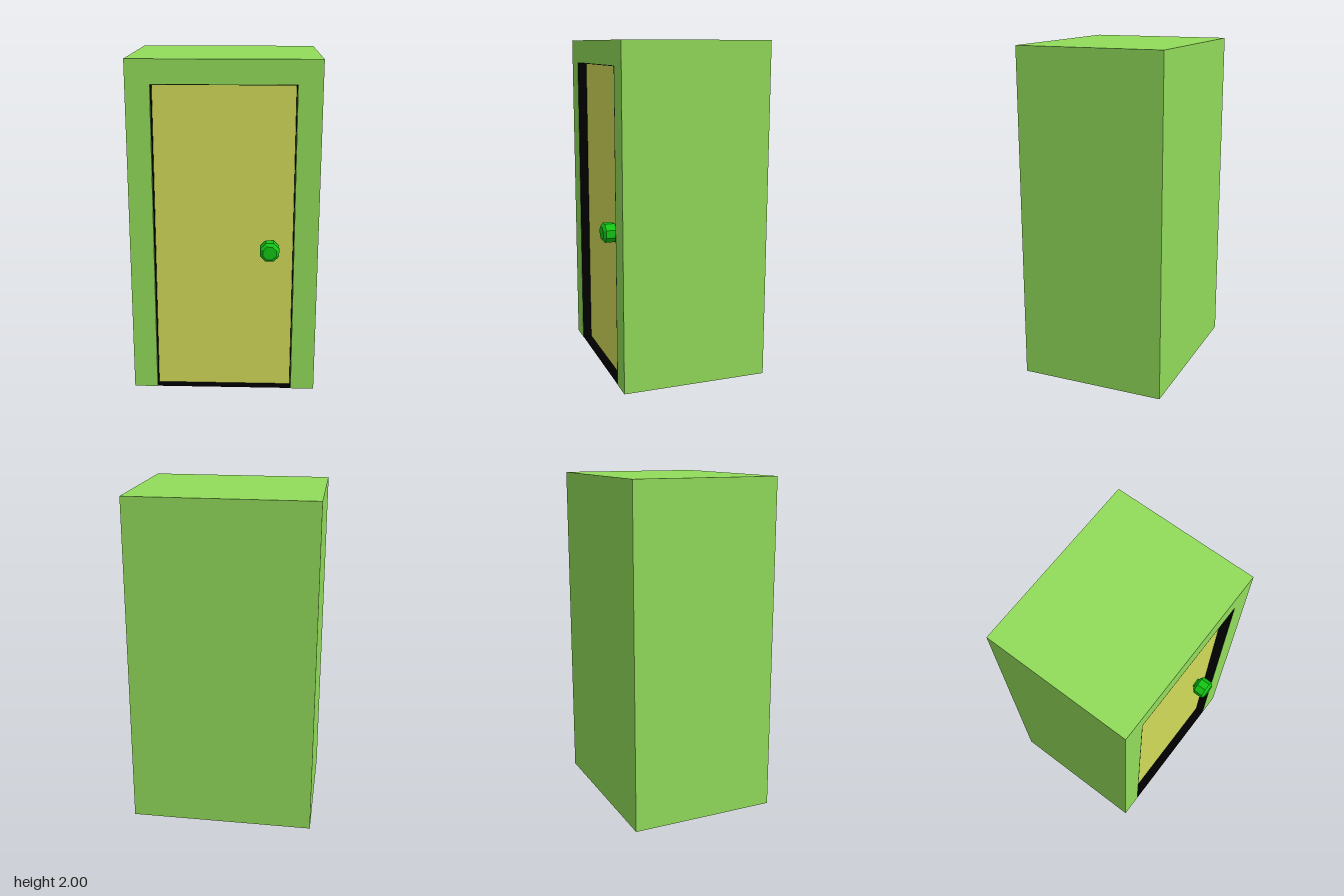
import * as THREE from 'three';

const material = (color, extra = {}) => new THREE.MeshStandardMaterial({ color, ...extra });

function addPart(group, name, geometry, mat) {
  const mesh = new THREE.Mesh(geometry, mat);
  mesh.name = name;
  group.add(mesh);
  return mesh;
}

export function createModel() {
  const group = new THREE.Group();
  group.name = 'doorway';

  const halfW = 0.55, height = 2, back = -0.465, front = 0.42;
  const openW = 0.41, openH = 1.86, innerBack = -0.32;
  const green = material(0x92dc5a);

  // U-shaped surround: two side walls and a top, open at floor level
  const outline = new THREE.Shape([
    [-halfW, 0], [-openW, 0], [-openW, openH], [openW, openH],
    [openW, 0], [halfW, 0], [halfW, height], [-halfW, height],
  ].map(([x, y]) => new THREE.Vector2(x, y)));
  const surround = new THREE.ExtrudeGeometry(outline, { depth: front - innerBack, bevelEnabled: false });
  addPart(group, 'frame', surround, green).position.z = innerBack;

  // Back wall
  const wall = new THREE.BoxGeometry(halfW * 2, height, innerBack - back);
  addPart(group, 'backWall', wall, green).position.set(0, height / 2, (back + innerBack) / 2);

  // Black lining of the recess: a thin box without its front face
  const gap = 0.002;
  const lining = new THREE.BoxGeometry((openW - gap) * 2, openH - gap * 2, front - innerBack - gap);
  const index = Array.from(lining.index.array);
  index.splice(24, 6);
  lining.setIndex(index);
  lining.clearGroups();
  addPart(group, 'darkInterior', lining, material(0x000000, { side: THREE.DoubleSide }))
    .position.set(0, openH / 2, (front + innerBack + gap) / 2);

  // Door panel, set back from the front of the frame
  const doorFront = 0.365, doorDepth = 0.07;
  const door = new THREE.BoxGeometry((openW - gap * 2) * 2, openH - gap * 2, doorDepth);
  addPart(group, 'door', door, material(0xd3db59))
    .position.set(0, openH / 2 - gap, doorFront - doorDepth / 2);

  // Faceted eight-sided knob, turned about the z axis
  const profile = [
    [0.03, 0], [0.03, 0.01], [0.042, 0.01], [0.06, 0.026],
    [0.06, 0.085], [0.042, 0.1], [0, 0.1],
  ].map(([r, y]) => new THREE.Vector2(r, y));
  const knob = new THREE.LatheGeometry(profile, 8, Math.PI / 8);
  knob.rotateX(Math.PI / 2);
  addPart(group, 'doorknob', knob, material(0x13c613, { flatShading: true }))
    .position.set(0.268, 0.895, doorFront);

  return group;
}
